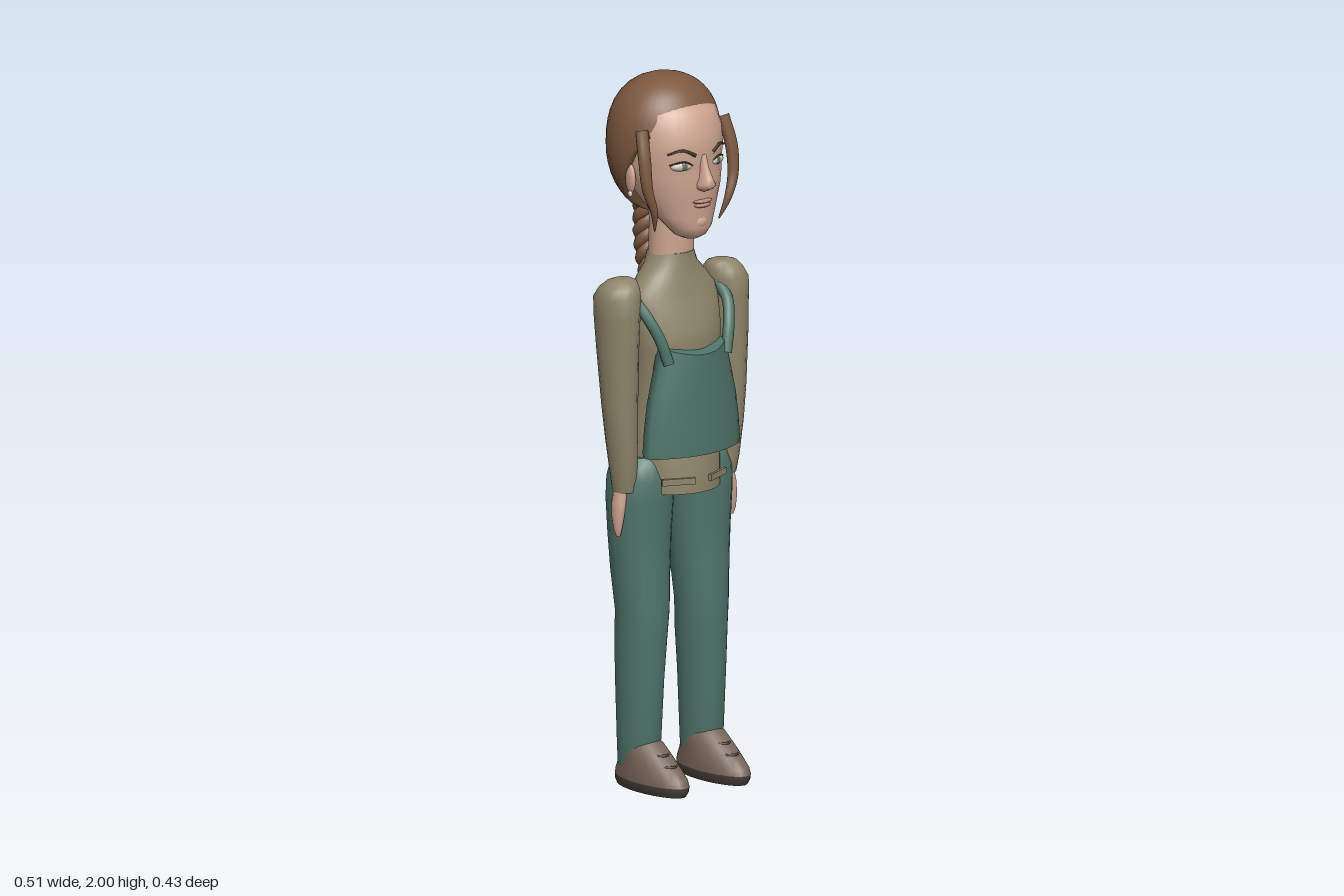
import * as THREE from 'three';

const mat = (name, color) => Object.assign(new THREE.MeshStandardMaterial({ color }), { name });
const M = {
  skin: mat('skin', 0xcda48f),
  lips: mat('lips', 0xb98476),
  hair: mat('hair brown', 0x7c583f),
  dark: mat('dark brown', 0x46352a),
  eye: mat('eye white', 0xcfc6ba),
  iris: mat('iris', 0x5f6b5a),
  shirt: mat('khaki shirt', 0x8e8469),
  green: mat('green cloth', 0x4f756a),
  shoe: mat('shoe leather', 0x78655a),
  sole: mat('sole', 0x4b423c),
};

const V = (x, y, z) => new THREE.Vector3(x, y, z);

// Skins closed rings of points, listed bottom to top; the ends are capped flat
function skin(rings) {
  const n = rings[0].length, pos = [], idx = [];
  rings.forEach((r) => r.forEach((p) => pos.push(p.x, p.y, p.z)));
  for (let i = 0; i < rings.length - 1; i++)
    for (let j = 0; j < n; j++) {
      const k = (j + 1) % n, a = i * n + j, b = i * n + k;
      idx.push(a, b, b + n, a, b + n, a + n);
    }
  for (const top of [false, true]) {
    const ring = rings[top ? rings.length - 1 : 0], base = pos.length / 3, c = V(0, 0, 0);
    ring.forEach((p) => { pos.push(p.x, p.y, p.z); c.addScaledVector(p, 1 / n); });
    pos.push(c.x, c.y, c.z);
    for (let j = 0; j < n; j++) {
      const k = (j + 1) % n;
      idx.push(base + n, base + (top ? j : k), base + (top ? k : j));
    }
  }
  const g = new THREE.BufferGeometry();
  g.setAttribute('position', new THREE.Float32BufferAttribute(pos, 3));
  g.setIndex(idx);
  g.computeVertexNormals();
  return g;
}

// Elliptic cross-sections: [y, centre x, half width, back z, front z]
function loft(rows, side = 1, n = 24) {
  return skin(rows.map(([y, cx, rx, zb, zf]) => Array.from({ length: n }, (_, j) => {
    const a = (j / n) * Math.PI * 2;
    return V(side * cx + rx * Math.sin(a), y, (zb + zf) / 2 + ((zf - zb) / 2) * Math.cos(a));
  })));
}

// Tube whose radius follows a function of its length
function taperTube(points, radius, seg = 20, radial = 8) {
  const path = new THREE.CatmullRomCurve3(points);
  const g = new THREE.TubeGeometry(path, seg, 1, radial);
  const p = g.attributes.position, v = V(0, 0, 0);
  for (let i = 0; i <= seg; i++) {
    const c = path.getPointAt(i / seg), r = radius(i / seg);
    for (let j = 0; j <= radial; j++) {
      const k = i * (radial + 1) + j;
      v.fromBufferAttribute(p, k).sub(c).multiplyScalar(r).add(c);
      p.setXYZ(k, v.x, v.y, v.z);
    }
  }
  return g;
}

// Hair cap: rounded dome cut along a hairline that drops from brow to nape
function hairCap() {
  const line = [1.91, 1.895, 1.865, 1.8, 1.71, 1.635, 1.605, 1.6, 1.6];
  const n = 48, rows = 16, rings = [];
  for (let i = -1; i <= rows; i++) {
    const ring = [];
    for (let j = 0; j < n; j++) {
      const a = (j / n) * Math.PI * 2;
      const f = (Math.min(j, n - j) / (n / 2)) * 8, k = Math.min(7, Math.floor(f));
      const edge = THREE.MathUtils.lerp(line[k], line[k + 1], f - k);
      const phi = Math.acos((edge - 1.8) / 0.2) * (1 - Math.max(i, 0) / rows);
      const t = Math.cos(phi);
      let r = t > 0 ? Math.pow(Math.max(0, 1 - t ** 2.6), 0.46) : Math.sqrt(Math.max(0, 1 - t * t));
      if (i < 0) r *= 0.86;
      ring.push(V(0.165 * r * Math.sin(a), 1.8 + 0.2 * t, -0.01 + 0.15 * r * Math.cos(a)));
    }
    rings.push(ring);
  }
  return skin(rings);
}

// Curved bib panel with thickness
function bib() {
  const n = 12;
  return skin([[0.95, 0.16], [0.965, 0.162], [1.03, 0.157], [1.1, 0.147], [1.18, 0.128], [1.235, 0.11]].map(([y, w], i) => {
    const ring = [];
    for (const back of [0, 1])
      for (let j = 0; j <= n; j++) {
        const u = (j / n * 2 - 1) * (back ? -1 : 1);
        const lift = i === 5 ? 0.02 * u * u : 0;
        ring.push(V(w * u, y + lift, 0.174 - 0.05 * u * u - 0.03 * back));
      }
    return ring;
  }));
}

export function createModel() {
  const model = new THREE.Group();
  model.name = 'standingWoman';
  const add = (name, geo, material) => {
    const m = new THREE.Mesh(geo, material);
    m.name = name;
    model.add(m);
    return m;
  };
  const blob = (name, material, pos, size, ry = 0) => {
    const m = add(name, new THREE.SphereGeometry(1, 16, 12), material);
    m.position.set(...pos);
    m.scale.set(...size);
    m.rotation.y = ry;
    return m;
  };

  // Head and neck
  add('neck', loft([[1.46, 0, 0.066, -0.035, 0.08], [1.53, 0, 0.066, -0.035, 0.083], [1.6, 0, 0.064, -0.035, 0.08], [1.68, 0, 0.068, -0.05, 0.08]]), M.skin);
  add('head', loft([
    [1.555, 0, 0.022, 0.08, 0.13], [1.565, 0, 0.045, 0.06, 0.147], [1.59, 0, 0.068, 0.04, 0.157],
    [1.62, 0, 0.088, 0.0, 0.156], [1.66, 0, 0.108, -0.05, 0.16], [1.7, 0, 0.126, -0.09, 0.164],
    [1.74, 0, 0.136, -0.11, 0.164], [1.77, 0, 0.14, -0.12, 0.162], [1.81, 0, 0.143, -0.125, 0.167],
    [1.86, 0, 0.141, -0.12, 0.16], [1.91, 0, 0.125, -0.1, 0.138], [1.95, 0, 0.09, -0.07, 0.09],
  ], 1, 32), M.skin);
  add('nose', loft([
    [1.697, 0, 0.012, 0.14, 0.176], [1.705, 0, 0.024, 0.13, 0.193], [1.718, 0, 0.025, 0.13, 0.206],
    [1.735, 0, 0.016, 0.13, 0.198], [1.765, 0, 0.012, 0.13, 0.18], [1.8, 0, 0.012, 0.13, 0.168],
  ], 1, 14), M.skin);
  blob('upperLip', M.lips, [0, 1.666, 0.153], [0.034, 0.007, 0.02]);
  blob('lowerLip', M.lips, [0, 1.655, 0.152], [0.029, 0.008, 0.02]);
  blob('chin', M.skin, [0, 1.605, 0.135], [0.03, 0.025, 0.025]);

  // Hair and rope braid
  add('hairCap', hairCap(), M.hair);
  const braid = new THREE.CatmullRomCurve3([
    V(0.075, 1.83, -0.14), V(0.083, 1.75, -0.165), V(0.078, 1.6, -0.178), V(0.068, 1.45, -0.165), V(0.06, 1.32, -0.115),
  ]);
  for (let s = 0; s < 3; s++) {
    const pts = [];
    for (let i = 0; i <= 72; i++) {
      const t = i / 72, a = t * Math.PI * 2 * 4.7 + (s / 3) * Math.PI * 2;
      const w = 0.021 - 0.007 * t;
      pts.push(braid.getPointAt(t).add(V(Math.cos(a) * w, 0, Math.sin(a) * w)));
    }
    add('braidStrand', taperTube(pts, (t) => (0.024 - 0.008 * t) * Math.min(1, (1 - t) * 25 + 0.05), 110, 8), M.hair);
  }

  // Torso
  add('shirt', loft([
    [0.84, 0, 0.135, -0.105, 0.155], [0.92, 0, 0.137, -0.105, 0.152], [0.96, 0, 0.137, -0.092, 0.14],
    [1.03, 0, 0.132, -0.075, 0.125], [1.15, 0, 0.127, -0.06, 0.125], [1.24, 0, 0.135, -0.055, 0.143],
    [1.3, 0, 0.142, -0.055, 0.135], [1.36, 0, 0.147, -0.055, 0.115], [1.4, 0, 0.14, -0.052, 0.102],
    [1.44, 0, 0.107, -0.048, 0.094], [1.47, 0, 0.078, -0.045, 0.088], [1.505, 0, 0.064, -0.045, 0.085],
  ], 1, 32), M.shirt);
  add('bib', bib(), M.green);

  for (const s of [1, -1]) {
    // Face details
    blob('eye', M.eye, [s * 0.063, 1.77, 0.142], [0.032, 0.013, 0.012], s * 0.35);
    blob('iris', M.iris, [s * 0.061, 1.77, 0.152], [0.01, 0.011, 0.004], s * 0.35);
    add('upperLid', taperTube([V(s * 0.033, 1.771, 0.156), V(s * 0.06, 1.784, 0.152), V(s * 0.096, 1.775, 0.129)], () => 0.0025, 10, 5), M.dark);
    add('eyebrow', taperTube([V(s * 0.03, 1.8, 0.163), V(s * 0.065, 1.817, 0.152), V(s * 0.102, 1.806, 0.128)], (t) => 0.0055 - 0.003 * t, 10, 6), M.dark);
    blob('ear', M.skin, [s * 0.143, 1.725, 0.02], [0.012, 0.042, 0.024], s * 0.3);
    blob('earring', M.eye, [s * 0.15, 1.685, 0.027], [0.007, 0.009, 0.007]);
    add('hairLock', taperTube([
      V(s * 0.145, 1.87, 0.07), V(s * 0.155, 1.79, 0.095), V(s * 0.153, 1.71, 0.105), V(s * 0.132, 1.645, 0.108), V(s * 0.115, 1.585, 0.09),
    ], (t) => 0.016 * (1 - t ** 3) + 0.002, 20, 8), M.hair);

    // Bib strap and hem pocket
    add('strap', taperTube([V(s * 0.103, 1.215, 0.135), V(s * 0.123, 1.285, 0.122), V(s * 0.146, 1.35, 0.09), V(s * 0.152, 1.385, 0.05)], () => 0.016, 14, 8), M.green);
    const pocket = add('hemPocket', new THREE.BoxGeometry(0.095, 0.018, 0.009), M.shirt);
    pocket.position.set(s * 0.07, 0.877, 0.138);
    pocket.rotation.y = s * 0.42;

    // Sleeve and hand
    add('sleeve', loft([
      [0.85, 0.18, 0.03, 0, 0.072], [0.9, 0.183, 0.035, -0.004, 0.08], [1.0, 0.19, 0.042, -0.012, 0.086],
      [1.1, 0.194, 0.047, -0.022, 0.09], [1.25, 0.196, 0.053, -0.038, 0.094], [1.35, 0.194, 0.058, -0.05, 0.096],
      [1.4, 0.193, 0.061, -0.05, 0.094], [1.425, 0.186, 0.055, -0.036, 0.082], [1.443, 0.18, 0.043, -0.016, 0.066], [1.45, 0.176, 0.026, 0.003, 0.047],
    ], s, 16), M.shirt);
    add('hand', loft([
      [0.725, 0.203, 0.005, 0.032, 0.045], [0.745, 0.204, 0.01, 0.024, 0.052], [0.78, 0.202, 0.014, 0.014, 0.058],
      [0.82, 0.198, 0.016, 0.01, 0.06], [0.87, 0.188, 0.016, 0.015, 0.055],
    ], s, 12), M.skin);

    // Trouser leg
    add('trouserLeg', loft([
      [0.06, 0.112, 0.048, -0.046, 0.055], [0.12, 0.112, 0.057, -0.048, 0.086], [0.3, 0.111, 0.064, -0.053, 0.094],
      [0.42, 0.108, 0.07, -0.056, 0.1], [0.5, 0.106, 0.073, -0.053, 0.105], [0.62, 0.106, 0.083, -0.066, 0.1],
      [0.72, 0.106, 0.09, -0.072, 0.1], [0.82, 0.105, 0.096, -0.078, 0.106], [0.88, 0.104, 0.094, -0.077, 0.106],
      [0.92, 0.103, 0.08, -0.072, 0.095], [0.94, 0.1, 0.062, -0.06, 0.08],
    ], s, 20), M.green);

    // Shoe
    add('sole', loft([[0, 0.11, 0.052, -0.064, 0.205], [0.015, 0.11, 0.059, -0.07, 0.215], [0.028, 0.11, 0.06, -0.07, 0.216]], s), M.sole);
    add('shoe', loft([
      [0.028, 0.11, 0.06, -0.07, 0.216], [0.045, 0.11, 0.06, -0.066, 0.208], [0.07, 0.11, 0.058, -0.054, 0.178],
      [0.1, 0.11, 0.055, -0.044, 0.137], [0.125, 0.11, 0.05, -0.036, 0.104], [0.137, 0.11, 0.04, -0.03, 0.086],
    ], s), M.shoe);
    for (const [y, z] of [[0.077, 0.161], [0.103, 0.126]])
      add('lace', taperTube([V(s * 0.11 - 0.03, y, z - 0.016), V(s * 0.11, y + 0.003, z + 0.006), V(s * 0.11 + 0.03, y, z - 0.016)], () => 0.004, 8, 5), M.sole);
  }
  return model;
}
